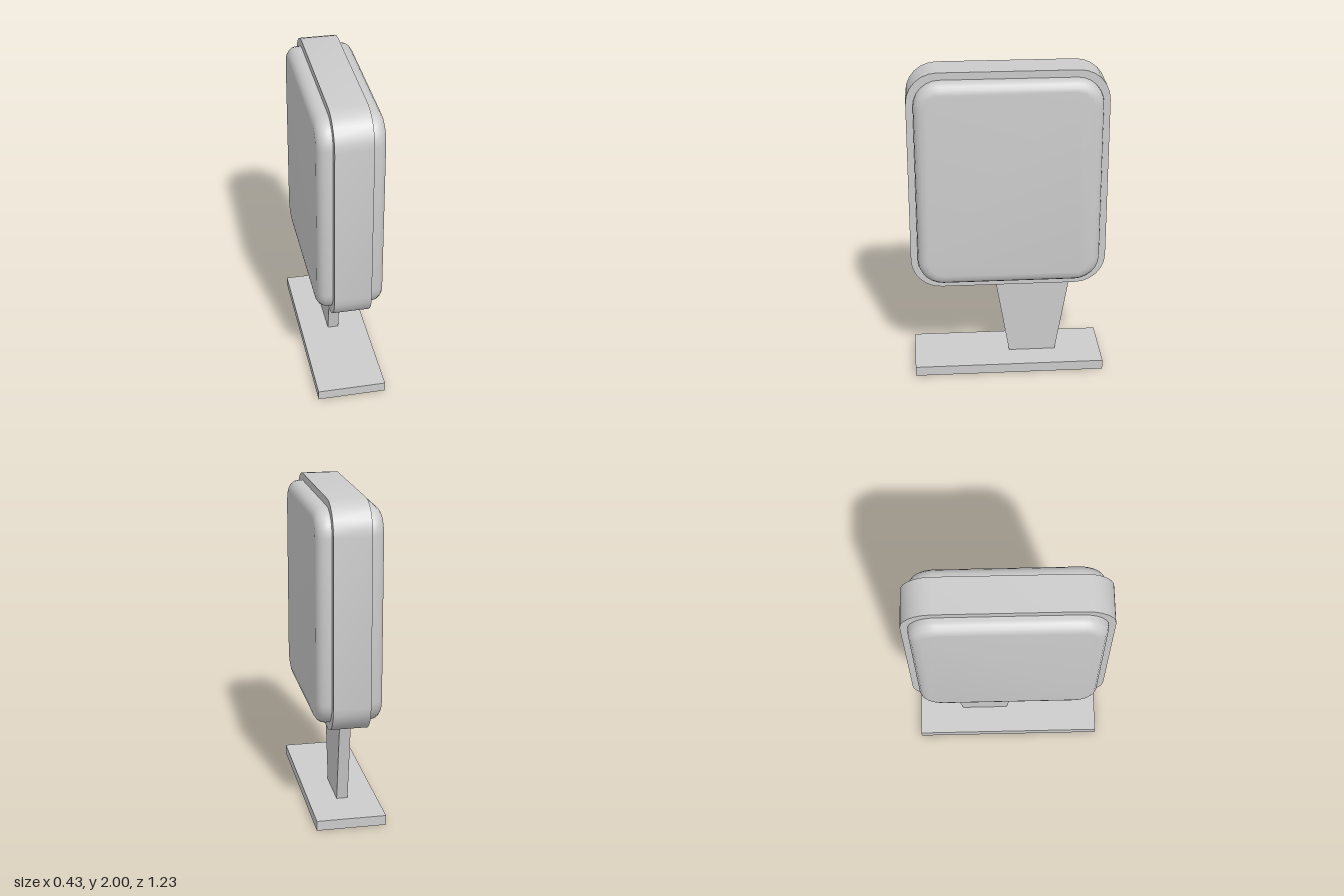
import * as THREE from 'three';
import { toCreasedNormals } from 'three/addons/utils/BufferGeometryUtils.js';

const grey = new THREE.MeshStandardMaterial({ color: 0xcccccc });
const greyOpen = new THREE.MeshStandardMaterial({ color: 0xcccccc, side: THREE.DoubleSide });

// Rounded rectangle, w and h are half sizes
function roundedRect(w, h, r) {
  const s = new THREE.Shape();
  s.absarc(w - r, h - r, r, 0, Math.PI / 2);
  s.absarc(r - w, h - r, r, Math.PI / 2, Math.PI);
  s.absarc(r - w, r - h, r, Math.PI, Math.PI * 1.5);
  s.absarc(w - r, r - h, r, Math.PI * 1.5, Math.PI * 2);
  s.closePath();
  return s;
}

// Extrudes a side profile (-z, y) across x, centred on x = 0
function acrossX(shape, width, bevel = 0) {
  const geo = new THREE.ExtrudeGeometry(shape, {
    depth: width - 2 * bevel,
    curveSegments: 3,
    bevelEnabled: bevel > 0,
    bevelSize: bevel,
    bevelThickness: bevel,
    bevelSegments: 4,
  });
  geo.translate(0, 0, bevel - width / 2);
  geo.rotateY(Math.PI / 2);
  return toCreasedNormals(geo, 0.6);
}

export function createModel() {
  const group = new THREE.Group();
  const add = (name, geo, material, y = 0) => {
    const mesh = new THREE.Mesh(geo, material);
    mesh.name = name;
    mesh.position.y = y;
    group.add(mesh);
  };

  // Sign head: a frame band with a softly rounded panel bulging from both sides
  const headY = 1.295;
  add('signFrame', acrossX(roundedRect(0.613, 0.705, 0.19), 0.228), grey, headY);
  const bevel = 0.065;
  add('signPanels', acrossX(roundedRect(0.57 - bevel, 0.66 - bevel, 0.16 - bevel), 0.404, bevel), grey, headY);

  // Tapered post, set towards the back
  const post = new THREE.Shape([
    new THREE.Vector2(0.01, 0.06),
    new THREE.Vector2(0.31, 0.06),
    new THREE.Vector2(0.402, 0.6),
    new THREE.Vector2(-0.082, 0.6),
  ]);
  post.autoClose = true;
  add('post', acrossX(post, 0.07), grey);

  // Base tray, open underneath (bottom face of the box dropped)
  const base = new THREE.BoxGeometry(0.43, 0.062, 1.21);
  const index = Array.from(base.index.array);
  index.splice(18, 6);
  base.setIndex(index);
  base.clearGroups();
  add('base', base, greyOpen, 0.031);

  return group;
}
